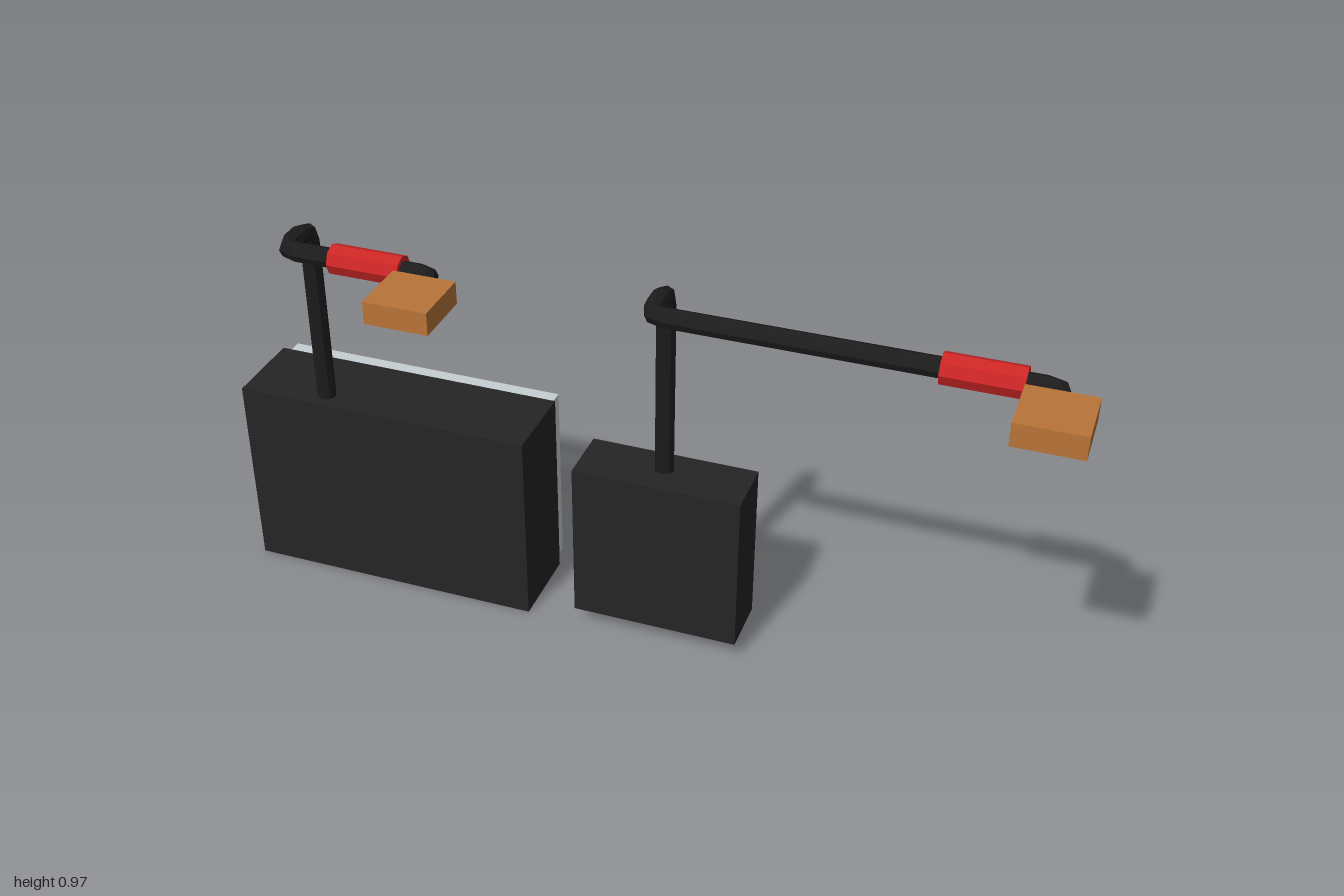
import * as THREE from 'three';

const mat = (name, color, extra = {}) => {
  const m = new THREE.MeshStandardMaterial({ color, ...extra });
  m.name = name;
  return m;
};

// Path with rounded corners, stepped only at the ends and bends
class BentPath extends THREE.Curve {
  constructor(corners, r) {
    super();
    const dir = (i) => corners[i + 1].clone().sub(corners[i]).normalize();
    this.points = [corners[0]];
    this.tangents = [dir(0)];
    for (let i = 1; i < corners.length - 1; i++) {
      const before = dir(i - 1), after = dir(i);
      const bend = new THREE.QuadraticBezierCurve3(
        corners[i].clone().addScaledVector(before, -r), corners[i],
        corners[i].clone().addScaledVector(after, r));
      for (const t of [0, 0.5, 1]) {
        this.points.push(bend.getPoint(t));
        this.tangents.push(bend.getTangent(t));
      }
    }
    this.points.push(corners.at(-1));
    this.tangents.push(dir(corners.length - 2));
    this.segments = this.points.length - 1;
  }
  getPointAt(t, target = new THREE.Vector3()) {
    return target.copy(this.points[Math.round(t * this.segments)]);
  }
  getPoint(t, target) { return this.getPointAt(t, target); }
  getTangentAt(t, target = new THREE.Vector3()) {
    return target.copy(this.tangents[Math.round(t * this.segments)]);
  }
}

export function createModel() {
  const model = new THREE.Group();
  model.name = 'switchAndBattery';

  const black = mat('black casing', 0x252525);
  const cable = mat('black cable', 0x1c1c1c, { flatShading: true });
  const red = mat('red', 0xcc2525, { flatShading: true });
  const copper = mat('copper', 0xb87538);
  const grey = mat('light grey', 0xc8d0d4);

  const add = (parent, name, geometry, material) => {
    const mesh = new THREE.Mesh(geometry, material);
    mesh.name = name;
    parent.add(mesh);
    return mesh;
  };
  // Box given by its limits on each axis
  const box = (parent, name, material, [x0, x1], [y0, y1], [z0, z1]) =>
    add(parent, name, new THREE.BoxGeometry(x1 - x0, y1 - y0, z1 - z0), material)
      .position.set((x0 + x1) / 2, (y0 + y1) / 2, (z0 + z1) / 2);

  // Wide unit with a pale rear cover
  const wide = new THREE.Group();
  wide.name = 'wideUnit';
  model.add(wide);
  box(wide, 'wideCasing', black, [-1, -0.267], [0, 0.49], [-0.19, 0.015]);
  box(wide, 'rearCover', grey, [-0.988, -0.278], [0.013, 0.478], [-0.239, -0.185]);

  // Small unit with a rotary knob on the back
  const small = new THREE.Group();
  small.name = 'switchUnit';
  model.add(small);
  box(small, 'switchCasing', black, [-0.145, 0.26], [0.045, 0.449], [-0.128, 0.015]);
  const knob = add(small, 'knob', new THREE.CylinderGeometry(0.116, 0.116, 0.1, 20), red);
  knob.rotation.x = Math.PI / 2;
  knob.position.set(0.059, 0.247, -0.175);
  box(small, 'knobGrip', red, [-0.062, 0.181], [0.223, 0.27], [-0.275, -0.177]);

  // Cable with a red sleeve and a copper lug
  const addCable = (parent, x, endX, lugX) => {
    const v = (a, b, c) => new THREE.Vector3(a, b, c);
    const y = 0.937, z = 0.083;
    const path = new BentPath([
      v(x, 0.475, -0.03), v(x, y, -0.03), v(x, y, z), v(endX, y, z), v(endX, y, 0.135),
    ], 0.035);
    add(parent, 'cable', new THREE.TubeGeometry(path, path.segments, 0.023, 8), cable);
    const cap = add(parent, 'cableEnd', new THREE.CircleGeometry(0.023, 8), cable);
    cap.rotation.x = Math.PI / 2;
    cap.position.set(x, 0.475, -0.03);
    const sleeve = add(parent, 'sleeve', new THREE.CylinderGeometry(0.035, 0.035, 0.17, 8), red);
    sleeve.rotation.z = Math.PI / 2;
    sleeve.position.set(lugX - 0.085, y, z);
    box(parent, 'lug', copper, [lugX, lugX + 0.147], [0.909, 0.962], [0.13, 0.276]);
  };
  addCable(wide, -0.793, -0.427, -0.5);
  addCable(small, 0.065, 0.925, 0.852);

  return model;
}
